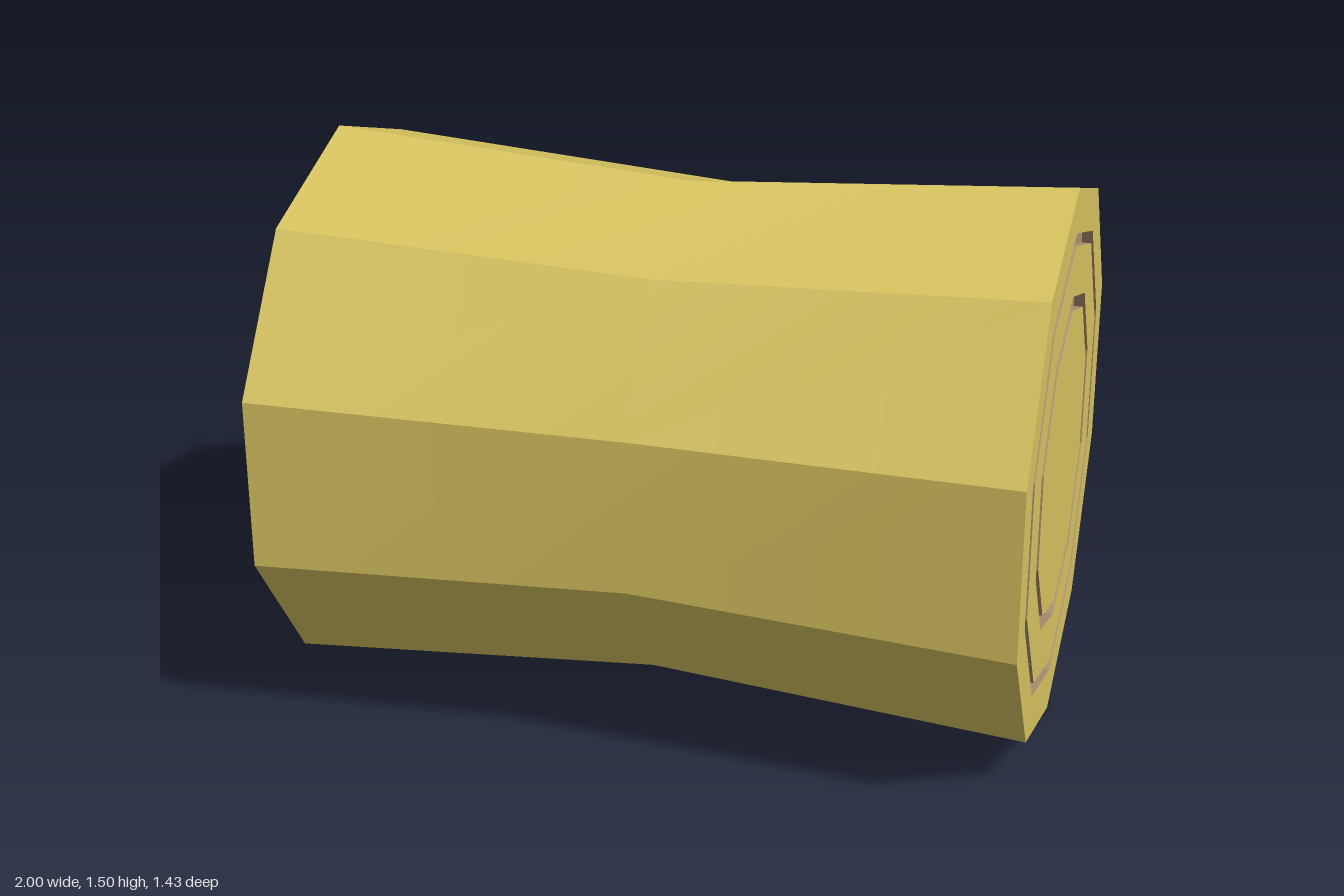
import * as THREE from 'three';
import { toCreasedNormals } from 'three/addons/utils/BufferGeometryUtils.js';

const SIDES = 10;
const straw = new THREE.MeshStandardMaterial({ color: 0xd8c460 });
const brown = new THREE.MeshStandardMaterial({ color: 0xad9174 });

// Ten-sided solid of revolution around the x axis; profile is [radius, x].
function turned(profile) {
  const points = profile.map(([r, x]) => new THREE.Vector2(r, x));
  const geometry = new THREE.LatheGeometry(points, SIDES, Math.PI / 2);
  geometry.rotateZ(-Math.PI / 2);
  return toCreasedNormals(geometry, 0.5);
}

function addPart(parent, name, profile, material) {
  const mesh = new THREE.Mesh(turned(profile), material);
  mesh.name = name;
  parent.add(mesh);
  return mesh;
}

// Flat end face cut by two ring grooves
function createEnd(name) {
  const end = new THREE.Group();
  end.name = name;
  const depth = 0.03;
  const grooves = [[0.63, 0.595], [0.457, 0.418]];
  let edge = 0.75;
  grooves.forEach(([outer, inner], i) => {
    addPart(end, `endRing${i + 1}`, [[edge, 1], [outer, 1]], straw);
    addPart(end, `groove${i + 1}`,
      [[outer, 1], [outer, 1 - depth], [inner, 1 - depth], [inner, 1]], brown);
    edge = inner;
  });
  addPart(end, 'endCentre', [[edge, 1], [0, 1]], straw);
  return end;
}

export function createModel() {
  const bale = new THREE.Group();
  bale.name = 'roundBale';

  // Waisted side wall; its last panel, underneath, is brown
  const wall = addPart(bale, 'sideWall', [[0.75, -1], [0.68, -0.01], [0.75, 1]], [straw, brown]);
  const count = wall.geometry.attributes.position.count;
  wall.geometry.clearGroups();
  wall.geometry.addGroup(0, count - 6, 0);
  wall.geometry.addGroup(count - 6, 6, 1);

  // Matching ends
  const leftEnd = createEnd('leftEnd');
  const rightEnd = createEnd('rightEnd');
  rightEnd.rotation.y = Math.PI;
  bale.add(leftEnd, rightEnd);

  bale.position.y = 0.75;
  const model = new THREE.Group();
  model.add(bale);
  return model;
}
